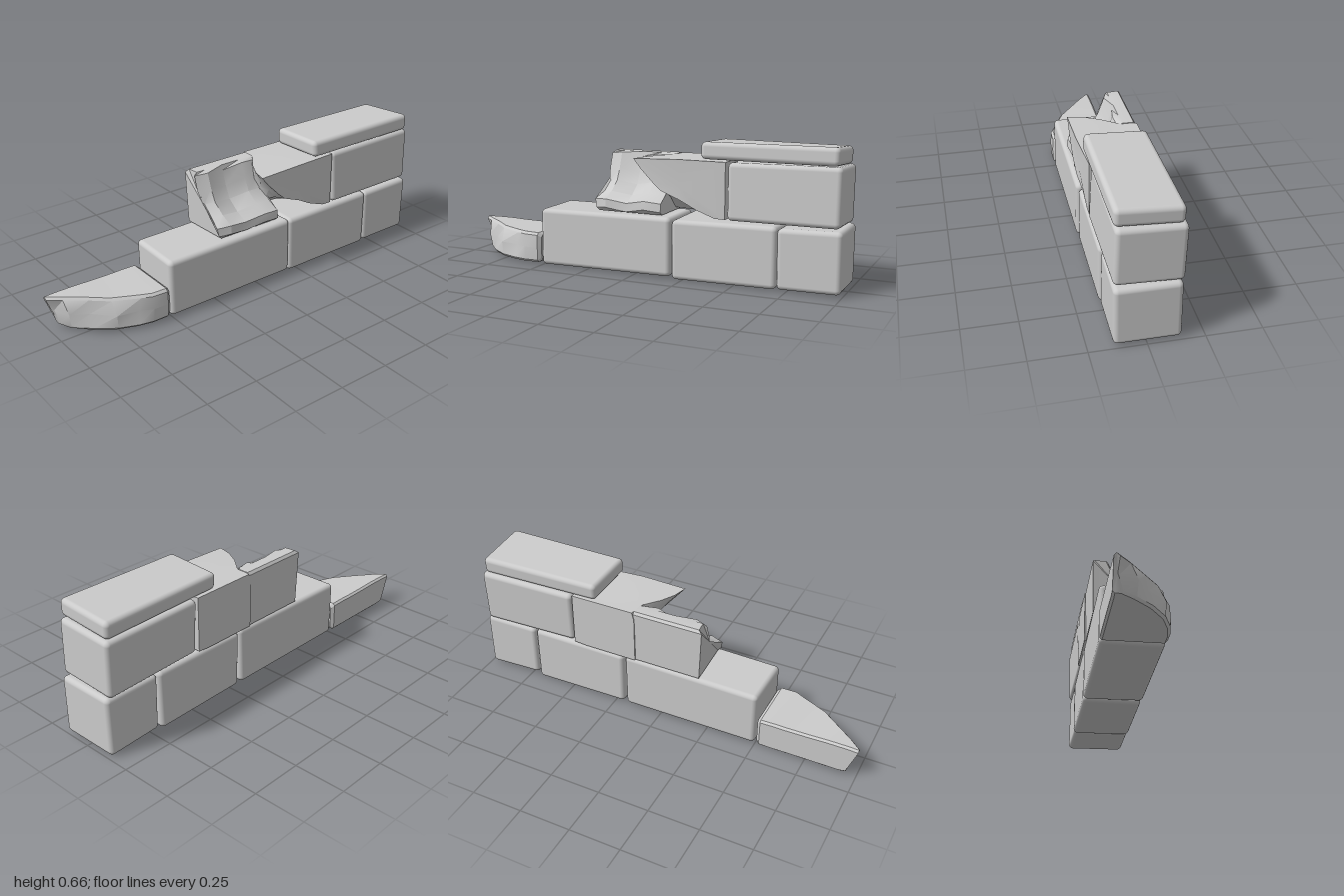
import * as THREE from 'three';
import { toCreasedNormals } from 'three/addons/utils/BufferGeometryUtils.js';
import { RoundedBoxGeometry } from 'three/addons/geometries/RoundedBoxGeometry.js';

const stone = new THREE.MeshStandardMaterial({ color: 0xcccccc });

function addMesh(group, name, geometry) {
  const mesh = new THREE.Mesh(geometry, stone);
  mesh.name = name;
  group.add(mesh);
  return mesh;
}

// Whole stone: a rounded box with slightly uneven corners
function wornBlock(group, name, [x0, x1], [y0, y1], [z0, z1], tilt, seed, wear = 0.005) {
  const w = x1 - x0, h = y1 - y0, d = z1 - z0;
  const geo = new RoundedBoxGeometry(w, h, d, 3, 0.022);
  const p = geo.attributes.position;
  const shift = (corner, axis) => Math.sin(seed * 12.9 + corner * 78.2 + axis * 37.7) * wear;
  for (let i = 0; i < p.count; i++) {
    const v = [p.getX(i), p.getY(i), p.getZ(i)];
    const t = [v[0] / w + 0.5, v[1] / h + 0.5, v[2] / d + 0.5];
    for (let c = 0; c < 8; c++) {
      const weight = t.reduce((a, s, k) => a * ((c >> k) & 1 ? s : 1 - s), 1);
      for (let k = 0; k < 3; k++) v[k] += weight * shift(c, k);
    }
    p.setXYZ(i, ...v);
  }
  const mesh = addMesh(group, name, geo);
  mesh.position.set((x0 + x1) / 2, (y0 + y1) / 2, (z0 + z1) / 2);
  mesh.rotation.x = tilt;
}

// Broken stone: a skin over closed rings of [x, y, z] points, capped at both ends
function loft(rings) {
  const n = rings[0].length, tris = [];
  const centre = ring => [0, 1, 2].map(k => ring.reduce((s, q) => s + q[k], 0) / n);
  const first = centre(rings[0]), last = centre(rings[rings.length - 1]);
  for (let j = 0; j < n; j++) {
    const k = (j + 1) % n;
    for (let i = 0; i + 1 < rings.length; i++) {
      const a = rings[i], b = rings[i + 1];
      tris.push([a[j], a[k], b[k]], [a[j], b[k], b[j]]);
    }
    const a = rings[0], b = rings[rings.length - 1];
    tris.push([first, a[k], a[j]], [last, b[j], b[k]]);
  }
  // Turn all faces outward
  const vec = q => new THREE.Vector3(...q).sub(new THREE.Vector3(...first));
  const volume = tris.reduce((s, [a, b, c]) => s + vec(a).dot(vec(b).cross(vec(c))), 0);
  if (volume < 0) tris.forEach(t => t.reverse());
  const geo = new THREE.BufferGeometry();
  geo.setAttribute('position', new THREE.Float32BufferAttribute(tris.flat(2), 3));
  return toCreasedNormals(geo, 0.5);
}

export function createModel() {
  const group = new THREE.Group();
  group.name = 'ruinedStoneWall';

  // Bottom course
  wornBlock(group, 'bottomLongStone', [-0.5, 0.188], [0.012, 0.293], [-0.15, 0.14], 0, 1);
  wornBlock(group, 'bottomMiddleStone', [0.2, 0.7], [0.008, 0.293], [-0.15, 0.14], 0, 2);
  wornBlock(group, 'bottomEndStone', [0.707, 0.993], [0.014, 0.293], [-0.149, 0.14], 0, 3);

  // Second course and top slab
  wornBlock(group, 'upperEndStone', [0.47, 0.984], [0.302, 0.568], [-0.157, 0.138], -0.035, 4);
  wornBlock(group, 'topSlab', [0.34, 0.973], [0.572, 0.653], [-0.148, 0.141], -0.055, 5, 0.004);

  // Low stone broken diagonally: [x at base, x at top, front z at base, front z at top, top y, base y]
  const stations = [
    [-0.95, -0.998, -0.105, -0.125, 0.168, 0.02],
    [-0.92, -0.94, -0.05, -0.075, 0.17, 0.014],
    [-0.85, -0.85, 0.025, -0.005, 0.17, 0.014],
    [-0.76, -0.77, 0.09, 0.06, 0.167, 0.014],
    [-0.67, -0.65, 0.125, 0.115, 0.165, 0.014],
    [-0.6, -0.6, 0.138, 0.138, 0.166, 0.013],
    [-0.525, -0.525, 0.139, 0.139, 0.164, 0.014],
    [-0.509, -0.509, 0.125, 0.125, 0.152, 0.025],
  ];
  addMesh(group, 'lowBrokenStone', loft(stations.map(([xb, xt, fb, ft, top, base], i) => {
    const xm = (xb + xt) / 2 + (i === 0 ? 0.012 : 0);
    const bulge = i < 5 ? (i % 2 ? 0.018 : -0.008) : 0.003;
    const back = i === 7 ? -0.138 : -0.15;
    return [
      [xb, base, back + 0.01], [xb, base, fb - 0.012], [xb, base + 0.012, fb],
      [xm, (top + base) / 2, (fb + ft) / 2 + bulge],
      [xt, top - 0.012, ft], [xt, top, ft - 0.012],
      [xt, top, back + 0.01], [xt, top - 0.01, back], [xb, base + 0.01, back],
    ];
  })));

  // Broken stone with a scooped front: section as [y, z], repeated along x
  const scoop = [[0.3, -0.145], [0.3, 0.1], [0.315, 0.12], [0.355, 0.115], [0.385, 0.05],
    [0.43, -0.01], [0.49, -0.04], [0.56, -0.065], [0.573, -0.085], [0.573, -0.14], [0.56, -0.15]];
  const ridge = [0, 0.006, -0.012, 0.008, 0];
  addMesh(group, 'scoopedBrokenStone', loft([-0.205, -0.15, -0.05, 0.05, 0.135].map((x, i) =>
    scoop.map(([y, z], j) => {
      const face = j > 1 && j < 8 ? 1 : 0;
      const edge = i === 0 ? 0.012 * Math.sin(j * 1.7) : 0;
      return [x + edge, y + face * ridge[i], z + face * (ridge[i] + (i === 0 ? -0.015 : 0))];
    }))));

  // Overhanging broken stone: back outline blends into a narrower front outline
  const backLine = [[0.465, 0.57], [0.465, 0.305], [0.4, 0.3], [0.3, 0.3], [0.2, 0.3],
    [0.13, 0.3], [0.13, 0.42], [0.13, 0.53], [0.14, 0.57], [0.3, 0.57]];
  const frontLine = [[0.46, 0.572], [0.46, 0.31], [0.41, 0.312], [0.32, 0.345], [0.24, 0.39],
    [0.15, 0.425], [0.11, 0.46], [0.05, 0.52], [0.01, 0.568], [0.24, 0.575]];
  const layers = [[-0.153, 0], [-0.07, 0.1], [0, 0.55], [0.07, 0.85], [0.13, 1]];
  const overhang = layers.map(([z, t]) => backLine.map(([x, y], j) => {
    const [fx, fy] = frontLine[j];
    const bow = t === 1 && j > 3 ? 0.02 : 0.006 * t;
    return [x + (fx - x) * t, y + (fy - y) * t, z + bow];
  }));
  addMesh(group, 'overhangingBrokenStone', loft(overhang));

  return group;
}
